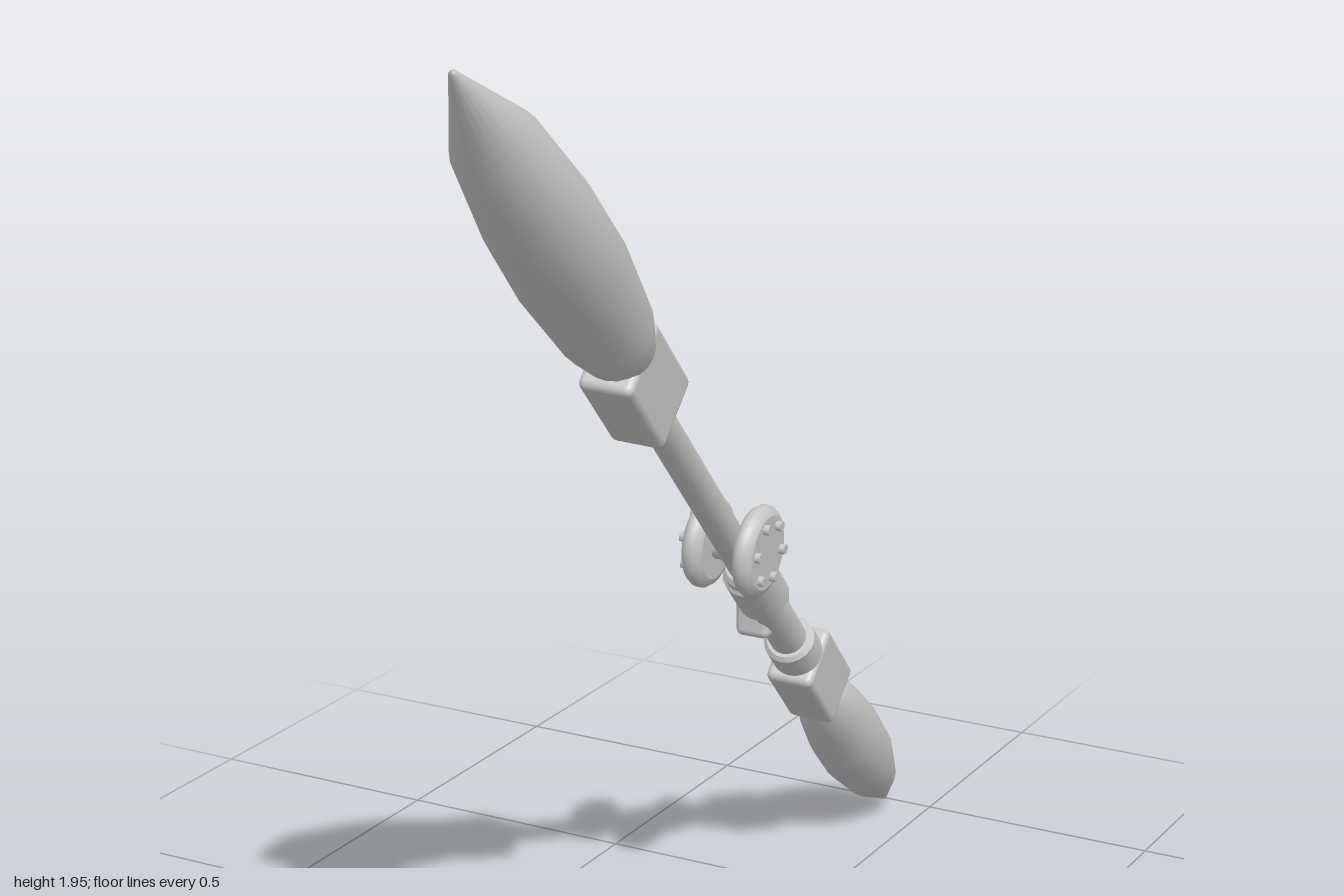
import * as THREE from 'three';
import { RoundedBoxGeometry } from 'three/addons/geometries/RoundedBoxGeometry.js';

export function createModel() {
  const model = new THREE.Group();
  model.name = 'doubleEndedStaff';
  const grey = new THREE.MeshStandardMaterial({ color: 0xc8c8c8 });
  grey.name = 'light grey';

  // Slanted frame: local y runs from the lower tip to the upper tip
  const bottom = new THREE.Vector3(-0.11, 0.004, -1);
  const top = new THREE.Vector3(0.1, 1.942, 1);
  const length = bottom.distanceTo(top);
  const yAxis = top.clone().sub(bottom).normalize();
  const xAxis = new THREE.Vector3(1, 0, 0).addScaledVector(yAxis, -yAxis.x).normalize();
  const zAxis = xAxis.clone().cross(yAxis);
  const staff = new THREE.Group();
  staff.name = 'staff';
  staff.quaternion.setFromRotationMatrix(new THREE.Matrix4().makeBasis(xAxis, yAxis, zAxis));
  staff.position.copy(bottom);
  model.add(staff);

  const add = (name, geometry, parent = staff, x = 0, y = 0, z = 0) => {
    const mesh = new THREE.Mesh(geometry, grey);
    mesh.name = name;
    mesh.position.set(x, y, z);
    parent.add(mesh);
    return mesh;
  };
  // Turned part from [radius, height] pairs, listed from low to high
  const turned = (pts, sides = 24) =>
    new THREE.LatheGeometry(pts.map(([r, y]) => new THREE.Vector2(r, y)), sides);
  // Straight sleeve with small bevelled rims
  const sleeve = (r, y0, y1, b = 0.008) =>
    turned([[0, y0], [r - b, y0], [r - b, y0], [r, y0 + b], [r, y0 + b],
      [r, y1 - b], [r, y1 - b], [r - b, y1], [r - b, y1], [0, y1]]);

  // Pointed heads at both ends
  const lower = add('lowerBlade', turned([[0, 0], [0.006, 0.003], [0.057, 0.13],
    [0.078, 0.25], [0.08, 0.36], [0.07, 0.47], [0.055, 0.56], [0.03, 0.59], [0, 0.59]], 20));
  lower.scale.z = 0.97;
  const upper = add('upperBlade', turned([[0, 1.915], [0.045, 1.92], [0.065, 1.95],
    [0.087, 2.03], [0.103, 2.23], [0.1, 2.38], [0.078, length - 0.2],
    [0.007, length - 0.004], [0, length]], 20));
  upper.scale.z = 0.94;
  upper.position.z = -0.008;

  // Square sockets that hold the heads
  add('lowerSocket', new RoundedBoxGeometry(0.1, 0.195, 0.13, 2, 0.014), staff, 0, 0.652, 0);
  add('upperSocket', new RoundedBoxGeometry(0.105, 0.205, 0.146, 2, 0.014), staff, 0, 1.855, 0);

  // Shaft and its sleeves
  add('shaft', new THREE.CylinderGeometry(0.032, 0.032, 1.1, 20), staff, 0, 1.25, 0);
  add('lowerShaft', new THREE.CylinderGeometry(0.037, 0.037, 0.3, 20), staff, 0, 0.87, 0);
  add('lowerCollar', sleeve(0.052, 0.74, 0.82));
  add('upperCollar', sleeve(0.052, 1.0, 1.12));
  add('upperCollarRim', sleeve(0.046, 1.11, 1.145));

  // Pair of studded discs beside the shaft
  const hubY = 1.225;
  const axle = add('hubAxle', new THREE.CylinderGeometry(0.03, 0.03, 0.1, 20), staff, 0, hubY, 0);
  axle.rotation.z = Math.PI / 2;
  for (const side of [1, -1]) {
    const disc = new THREE.Group();
    disc.name = side > 0 ? 'leftDisc' : 'rightDisc';
    disc.position.set(0, hubY, 0);
    disc.rotation.z = -side * Math.PI / 2;
    staff.add(disc);
    add('discPlate', turned([[0, 0.031], [0.07, 0.031], [0.07, 0.031], [0.082, 0.036],
      [0.089, 0.046], [0.089, 0.058], [0.082, 0.068], [0.072, 0.073], [0.072, 0.073],
      [0, 0.073]], 32), disc);
    for (let i = 0; i < 6; i++) {
      const a = (i + 0.4) * Math.PI / 3;
      add('stud', new THREE.CylinderGeometry(0.01, 0.01, 0.016, 10), disc,
        0.057 * Math.cos(a), 0.076, 0.057 * Math.sin(a));
    }
  }

  // Small upright block on the right flank of the shaft
  add('sideBlock', new RoundedBoxGeometry(0.072, 0.085, 0.105, 2, 0.014),
    model, -0.07, 0.648, -0.345);
  return model;
}
